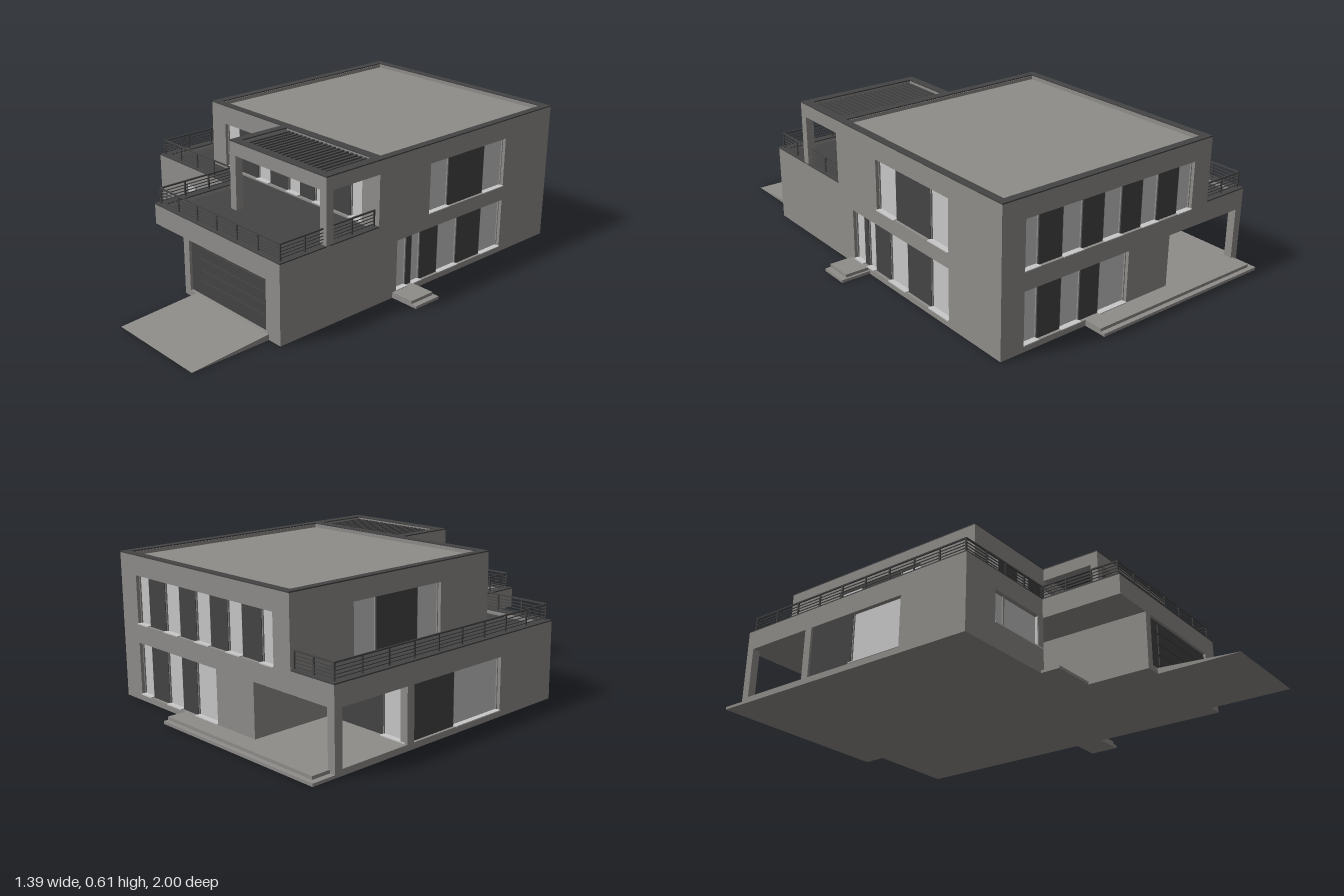
import * as THREE from 'three';

const material = (name, color) => Object.assign(new THREE.MeshStandardMaterial({ color }), { name });
const render = material('grey render', 0x8f8d8a);
const dark = material('dark cladding', 0x444444);
const glass = material('pale glazing', 0xc8c8c8);
const T = 0.035; // wall thickness

export function createModel() {
  const house = new THREE.Group();
  house.name = 'house';

  const add = (name, geometry, mat, parent = house) => {
    const mesh = new THREE.Mesh(geometry, mat);
    mesh.name = name;
    parent.add(mesh);
    return mesh;
  };

  // Box given by its limits on each axis
  const box = (name, mat, [x0, x1], [y0, y1], [z0, z1], parent = house) => {
    const m = add(name, new THREE.BoxGeometry(x1 - x0, y1 - y0, z1 - z0), mat, parent);
    m.position.set((x0 + x1) / 2, (y0 + y1) / 2, (z0 + z1) / 2);
    return m;
  };

  // Horizontal slab from a plan outline of [x, z] points
  const slab = (name, mat, plan, y0, y1, hole) => {
    const shape = new THREE.Shape(plan.map(p => new THREE.Vector2(...p)));
    if (hole) shape.holes.push(new THREE.Path(hole.map(p => new THREE.Vector2(...p))));
    const g = new THREE.ExtrudeGeometry(shape, { depth: y1 - y0, bevelEnabled: false });
    g.rotateX(Math.PI / 2);
    g.translate(0, y1, 0);
    return add(name, g, mat);
  };
  const rect = (x0, x1, z0, z1) => [[x0, z0], [x1, z0], [x1, z1], [x0, z1]];

  // Wall facing one side, with recessed strips of windows and dark panels.
  // Each bay is [from, to, material] along the world axis of the wall.
  const sides = { front: [0, 1], back: [Math.PI, -1], right: [Math.PI / 2, -1], left: [-Math.PI / 2, 1] };
  const wall = (name, side, plane, [a, b], [y0, y1], strips = []) => {
    const [turn, sign] = sides[side];
    const span = (p, q) => [Math.min(p * sign, q * sign), Math.max(p * sign, q * sign)];
    const g = new THREE.Group();
    g.name = name;
    g.rotation.y = turn;
    if (side === 'front' || side === 'back') g.position.z = plane;
    else g.position.x = plane;
    house.add(g);

    const [u0, u1] = span(a, b);
    const toPoints = r => r.map(p => new THREE.Vector2(...p));
    const shape = new THREE.Shape(toPoints(rect(u0, u1, y0, y1)));
    for (const { y: [h0, h1], bays } of strips) {
      const [s0, s1] = span(bays[0][0], bays[bays.length - 1][1]);
      shape.holes.push(new THREE.Path(toPoints(rect(s0, s1, h0, h1))));
      for (const [p, q, mat] of bays) {
        const [v0, v1] = span(p, q);
        const out = mat === dark ? -0.012 : -0.02;
        box(mat === dark ? 'claddingPanel' : 'windowPane', mat, [v0, v1], [h0, h1], [out - 0.009, out], g);
        if (mat === glass) {
          box('windowSill', glass, [v0, v1], [h0, h0 + 0.004], [-0.03, 0.004], g);
          for (const e of [v0, v1 - 0.004]) {
            box('windowFrame', render, [e, e + 0.004], [h0, h1], [-0.025, -0.014], g);
          }
        }
      }
    }
    const geo = new THREE.ExtrudeGeometry(shape, { depth: T, bevelEnabled: false });
    geo.translate(0, 0, -T);
    add('wallPanel', geo, render, g);
    return g;
  };

  // Alternating glass and dark bays between a row of edges
  const alternate = edges => edges.slice(1).map((e, i) => [edges[i], e, i % 2 ? dark : glass]);

  // Ground slab
  slab('groundSlab', render, [[-0.695, -0.9], [0.565, -0.9], [0.565, 0.65], [-0.02, 0.65],
    [-0.02, 0.15], [-0.21, 0.15], [-0.21, 0.29], [-0.695, 0.29]], 0, 0.025);

  // Ground floor walls
  const low = [0, 0.26];
  wall('groundRightWall', 'right', 0.565, [-0.9, 0.65], low,
    [{ y: [0.025, 0.243], bays: alternate([0.045, -0.02, -0.05, -0.1, -0.205, -0.325, -0.475, -0.6]) }]);
  wall('groundBackWall', 'back', -0.9, [-0.27, 0.565], low,
    [{ y: [0.025, 0.243], bays: alternate([0.46, 0.39, 0.28, 0.185, 0.09, -0.05]) }]);
  wall('patioSideWall', 'left', -0.27, [-0.9, -0.55], low);
  wall('patioBackWall', 'back', -0.55, [-0.695, -0.27], low,
    [{ y: [0.025, 0.243], bays: [[-0.3, -0.42, dark], [-0.42, -0.56, dark], [-0.56, -0.685, glass]] }]);
  wall('groundLeftWall', 'left', -0.695, [-0.55, 0.29], low,
    [{ y: [0.025, 0.243], bays: [[-0.54, -0.29, dark], [-0.29, -0.03, glass]] }]);
  wall('wingFrontWall', 'front', 0.29, [-0.695, -0.207], low,
    [{ y: [0.105, 0.243], bays: [[-0.52, -0.45, glass], [-0.45, -0.215, glass]] }]);
  wall('wingPorchWall', 'right', -0.207, [0.15, 0.29], low,
    [{ y: [0.105, 0.243], bays: [[0.285, 0.2, glass]] }]);
  wall('garagePorchWall', 'left', -0.02, [0.12, 0.65], low);
  wall('garageFrontWall', 'front', 0.65, [-0.02, 0.565], low,
    [{ y: [0.025, 0.243], bays: [[-0.01, 0.08, dark], [0.08, 0.485, dark]] }]);
  box('patioPost', render, [-0.695, -0.66], [0, 0.26], [-0.9, -0.865]);

  // Garage door ribs
  for (let i = 0; i < 4; i++) {
    const y = 0.05 + i * 0.047;
    box('garageDoorRib', dark, [0.085, 0.48], [y, y + 0.038], [0.636, 0.643]);
  }

  // Entrance
  wall('entranceWall', 'front', 0.15, [-0.22, -0.01], low,
    [{ y: [0.025, 0.243], bays: [[-0.205, -0.125, dark], [-0.125, -0.085, glass], [-0.085, -0.022, dark]] }]);
  box('doorLight', glass, [-0.062, -0.042], [0.04, 0.215], [0.138, 0.143]);

  // Steps, rear terrace and ramp
  box('porchStep', render, [-0.225, -0.02], [0, 0.012], [0.14, 0.375]);
  box('sideStepLower', render, [0.56, 0.695], [0, 0.012], [-0.065, 0.065]);
  box('sideStepUpper', render, [0.56, 0.67], [0, 0.025], [-0.055, 0.065]);
  box('terraceLower', render, [-0.695, 0.16], [0, 0.012], [-1, -0.89]);
  box('terraceUpper', render, [-0.67, 0.16], [0, 0.025], [-0.98, -0.89]);
  const wedge = new THREE.ExtrudeGeometry(
    new THREE.Shape([[-1, 0], [-0.64, 0], [-0.64, 0.025], [-1, 0.001]].map(p => new THREE.Vector2(...p))),
    { depth: 0.45, bevelEnabled: false });
  wedge.rotateY(Math.PI / 2);
  wedge.translate(0.05, 0, 0);
  add('garageRamp', wedge, render);

  // First floor slab, roof deck, parapet and coping
  slab('floorSlab', render, [[-0.695, -0.9], [0.565, -0.9], [0.565, 0.65], [-0.21, 0.65],
    [-0.21, 0.29], [-0.695, 0.29]], 0.243, 0.302);
  slab('roofDeck', dark, [[-0.69, -0.89], [-0.46, -0.89], [-0.46, 0.13], [0.55, 0.13], [0.55, 0.64],
    [-0.2, 0.64], [-0.2, 0.28], [-0.69, 0.28]], 0.3, 0.312);
  const edge = [[-0.475, -0.9], [-0.695, -0.9], [-0.695, 0.29], [-0.21, 0.29], [-0.21, 0.65], [0.565, 0.65],
    [0.565, 0.15], [0.53, 0.15], [0.53, 0.615], [-0.175, 0.615], [-0.175, 0.255], [-0.66, 0.255],
    [-0.66, -0.865], [-0.475, -0.865]];
  slab('deckParapet', render, edge, 0.3, 0.327);
  slab('deckCoping', dark, edge, 0.327, 0.332);

  // Upper storey
  const high = [0.3, 0.6];
  const longRow = { y: [0.32, 0.52], bays: alternate([-0.385, -0.3, -0.175, -0.095, 0.02, 0.095, 0.185, 0.265, 0.395, 0.47].slice(0, 4)
    .concat([0.02, 0.095, 0.185, 0.265, 0.395, 0.47])) };
  const rearRow = { y: [0.32, 0.52], bays: alternate([0.46, 0.39, 0.28, 0.185, 0.08, -0.01, -0.115, -0.2, -0.31, -0.385]) };
  const sideRow = { y: [0.306, 0.52], bays: alternate([-0.135, -0.255, -0.475, -0.6]) };
  wall('upperFrontWall', 'front', 0.15, [-0.475, 0.565], high, [longRow]);
  wall('upperBackWall', 'back', -0.9, [-0.475, 0.565], high, [rearRow]);
  wall('upperRightWall', 'right', 0.565, [-0.9, 0.15], high, [sideRow]);
  wall('upperLeftWall', 'left', -0.475, [-0.9, 0.15], high, [sideRow]);
  slab('flatRoof', render, rect(-0.46, 0.55, -0.885, 0.135), 0.56, 0.585);
  slab('roofCoping', dark, rect(-0.475, 0.565, -0.9, 0.15), 0.6, 0.605, rect(-0.443, 0.533, -0.868, 0.118));

  // Pergola over the front deck
  const frame = rect(0, 0.565, 0.15, 0.425), opening = rect(0.035, 0.525, 0.155, 0.39);
  slab('pergolaFrame', render, frame, 0.545, 0.6, opening);
  slab('pergolaCoping', dark, frame, 0.6, 0.605, opening);
  for (const x of [0, 0.53]) box('pergolaPost', render, [x, x + T], [0.3, 0.55], [0.39, 0.425]);
  for (let i = 0; i < 20; i++) {
    const x = 0.045 + i * 0.0245;
    box('pergolaSlat', dark, [x, x + 0.012], [0.565, 0.595], [0.152, 0.392]);
  }

  // Railing along the deck edge
  const railing = new THREE.Group();
  railing.name = 'railing';
  house.add(railing);
  const path = [[-0.475, -0.882], [-0.677, -0.882], [-0.677, 0.272], [-0.192, 0.272],
    [-0.192, 0.632], [0.547, 0.632], [0.547, 0.16]];
  for (let i = 0; i + 1 < path.length; i++) {
    const [x0, z0] = path[i], [x1, z1] = path[i + 1];
    const length = Math.hypot(x1 - x0, z1 - z0);
    const bar = (name, y, r) => box(name, dark,
      [Math.min(x0, x1) - r, Math.max(x0, x1) + r], [y - r, y + r],
      [Math.min(z0, z1) - r, Math.max(z0, z1) + r], railing);
    bar('topRail', 0.397, 0.003);
    for (let k = 0; k < 4; k++) bar('rail', 0.342 + k * 0.013, 0.0015);
    const n = Math.max(1, Math.round(length / 0.123));
    for (let k = 0; k <= n; k++) {
      const x = x0 + (x1 - x0) * k / n, z = z0 + (z1 - z0) * k / n;
      box('railPost', dark, [x - 0.003, x + 0.003], [0.328, 0.4], [z - 0.003, z + 0.003], railing);
    }
  }

  return house;
}
